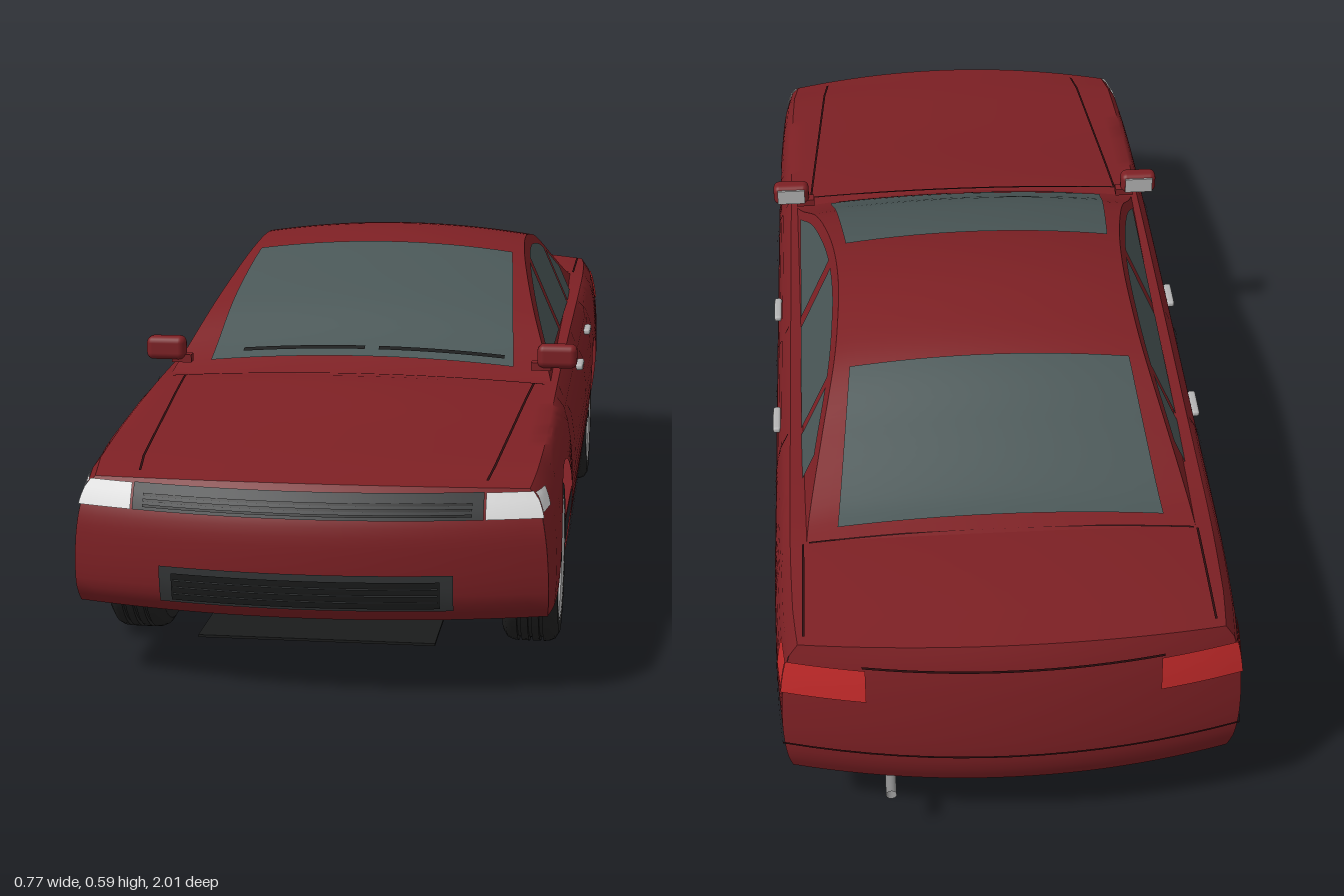
import * as THREE from 'three';
import { toCreasedNormals } from 'three/addons/utils/BufferGeometryUtils.js';
import { RoundedBoxGeometry } from 'three/addons/geometries/RoundedBoxGeometry.js';

const mat = (name, color) => new THREE.MeshStandardMaterial({ name, color, side: THREE.DoubleSide });
const paint = mat('dark red paint', 0x7d2024);
const glass = mat('tinted glass', 0x4a5757);
const rubber = mat('tyre rubber', 0x232323);
const black = mat('black plastic', 0x1b1c1c);
const grilleGrey = mat('grille grey', 0x343637);
const alloy = mat('alloy', 0xb4b4b4);
const steel = mat('exhaust steel', 0x858585);
const lampWhite = mat('headlamp white', 0xdedede);
const lampRed = mat('tail lamp red', 0xc42a2a);
const seamDark = mat('panel gap', 0x2c0c0e);

const { lerp, clamp } = THREE.MathUtils;

// Smooth curve through [position, value] pairs
function curve(pts) {
  const slope = i => {
    const a = pts[Math.max(i - 1, 0)], b = pts[Math.min(i + 1, pts.length - 1)];
    return (b[1] - a[1]) / (b[0] - a[0]);
  };
  return v => {
    v = clamp(v, pts[0][0], pts[pts.length - 1][0]);
    let i = 0;
    while (i < pts.length - 2 && v > pts[i + 1][0]) i++;
    const [x0, y0] = pts[i], [x1, y1] = pts[i + 1], h = x1 - x0, t = (v - x0) / h;
    const t2 = t * t, t3 = t2 * t;
    return y0 * (2 * t3 - 3 * t2 + 1) + y1 * (3 * t2 - 2 * t3) + h * (slope(i) * (t3 - 2 * t2 + t) + slope(i + 1) * (t3 - t2));
  };
}

// Lengthwise lines of the body: shoulder, centre of bonnet and boot, roof centre
const shoulder = curve([[-1, .425], [-.7, .423], [-.4, .413], [0, .403], [.38, .388], [.7, .362], [1, .334]]);
const deck = curve([[-1, .44], [-.7, .442], [-.55, .42], [0, .4], [.3, .392], [.4, .4], [.67, .373], [1, .342]]);
const roof = curve([[-.76, .432], [-.7, .444], [-.636, .459], [-.5, .513], [-.37, .567], [-.28, .586], [-.17, .594],
  [-.05, .58], [.07, .547], [.19, .5], [.3, .437], [.35, .412], [.41, .388]]);
// Side bulge by depth below the shoulder, and the end profiles by height
const bulge = curve([[0, .352], [.01, .362], [.04, .373], [.1, .382], [.18, .384], [.26, .376], [.33, .362]]);
const nose = curve([[.13, .968], [.16, .99], [.25, .996], [.295, .988], [.335, .966], [.36, .955]]);
const tail = curve([[.145, -.975], [.19, -.995], [.25, -1], [.35, -.992], [.42, -.978], [.45, -.965]]);

const wheelZ = [.605, -.555], wheelR = .14, archR = .166;
const endZ = (front, x, y) => front ? nose(y) - .058 * (x / .37) ** 2 : tail(y) + .05 * (x / .36) ** 2;
const sideX = (s, y) => bulge(shoulder(s) - y) * (1 - .035 * clamp((Math.abs(s) - .6) / .4, 0, 1) ** 2);
const deckY = (s, x) => lerp(deck(s), shoulder(s), (x / sideX(s, shoulder(s))) ** 2);

function bottom(s) {
  const base = s > .7 ? .13 : s < -.65 ? .145 : .088;
  for (const z of wheelZ) {
    const d = Math.abs(s - z);
    if (d <= archR + 1e-6) return Math.max(base, wheelR + Math.sqrt(Math.max(0, archR ** 2 - d * d)));
  }
  return base;
}
// Bends the last part of each end to the nose or tail profile
function bend(s, x, y) {
  if (Math.abs(s) <= .85) return [x, y, s];
  const z0 = .85 * Math.sign(s);
  return [x, y, lerp(z0, endZ(s > 0, x, y), (Math.abs(s) - .85) / .15)];
}

// Grid surface from a rule (u, v in 0..1)
function grid(nu, nv, fn, crease = .7) {
  const g = new THREE.PlaneGeometry(1, 1, nu, nv), p = g.attributes.position;
  for (let j = 0, k = 0; j <= nv; j++)
    for (let i = 0; i <= nu; i++, k++) p.setXYZ(k, ...fn(i / nu, j / nv));
  g.computeVertexNormals();
  return toCreasedNormals(g, crease);
}

// Cabin section: sides lean inwards, roof has a light crown
const cabinX = y => .333 - .073 * clamp((y - .405) / .165, -.1, 1.2);
const cabinEdge = z => Math.max(roof(z) - .02, shoulder(z) - .012);
const roofY = (z, x) => roof(z) - .02 * (x / cabinX(cabinEdge(z))) ** 2;

export function createModel() {
  const car = new THREE.Group();
  car.name = 'saloonCar';
  function add(name, geo, material, pos = [0, 0, 0], parent = car) {
    const m = new THREE.Mesh(geo, material);
    m.name = name;
    m.position.set(...pos);
    parent.add(m);
    return m;
  }
  const box = (name, w, h, d, m, pos, parent) => add(name, new THREE.BoxGeometry(w, h, d), m, pos, parent);

  // Body shell, with close stations around the wheel arches
  const stations = [];
  for (let i = 0; i <= 40; i++) {
    const s = -1 + i / 20;
    if (wheelZ.every(z => Math.abs(s - z) > archR + .005)) stations.push(s);
  }
  for (const z of wheelZ) {
    for (let i = 0; i <= 20; i++) stations.push(z - archR * Math.cos(Math.PI * i / 20));
    stations.push(z - archR - .001, z + archR + .001);
  }
  stations.sort((a, b) => a - b);
  const n = stations.length - 1;
  add('bodyShell', grid(n, 48, (u, v) => {
    const s = stations[Math.round(u * n)], t = v * 2 - 1, k = Math.abs(t), sg = Math.sign(t), b = bottom(s);
    if (k > .5) {
      const y = lerp(b, shoulder(s), (1 - k) / .5);
      return bend(s, sg * sideX(s, y), y);
    }
    const x = sideX(s, shoulder(s)) * k * 2;
    return bend(s, sg * x, deckY(s, x));
  }), paint);
  for (const s of [1, -1])
    add(s > 0 ? 'frontBumper' : 'rearPanel', grid(24, 14, (u, v) => {
      const b = bottom(s), x = (u * 2 - 1) * sideX(s, lerp(b, shoulder(s), v));
      const y = lerp(b, deckY(s, x), v);
      return [x, y, endZ(s > 0, x, y)];
    }), paint);

  // Cabin shell
  add('cabin', grid(60, 40, (u, v) => {
    const z = lerp(-.76, .41, u), t = v * 2 - 1, k = Math.abs(t), sg = Math.sign(t), e = cabinEdge(z);
    if (k > .5) {
      const y = lerp(shoulder(z) - .015, e, (1 - k) / .5);
      return [sg * cabinX(y), y, z];
    }
    const x = cabinX(e) * k * 2;
    return [sg * x, roofY(z, x), z];
  }, .5), paint);

  // Windscreen and rear window
  const screen = (name, z0, z1, w0, w1) => add(name, grid(16, 20, (u, v) => {
    const z = lerp(z0, z1, v), x = (u * 2 - 1) * lerp(w0, w1, v);
    return [x, roofY(z, x) + .005, z];
  }), glass);
  screen('windscreen', .335, -.03, .272, .243);
  screen('rearWindow', -.385, -.675, .243, .272);

  // Thin plates lying on the sides, the ends and the top
  const sidePlate = (name, sg, s0, s1, y0, y1, m, slant = 0) => add(name, grid(8, 6, (u, v) => {
    const y = lerp(y0, y1, v), s = lerp(s0, s1, u) + slant * v, p = bend(s, sideX(s, y), y);
    return [sg * (p[0] + .003), p[1], p[2]];
  }), m);
  const endPlate = (name, front, x0, x1, y0, y1, m, lift = .004) => add(name, grid(16, 3, (u, v) => {
    const y = lerp(y0, y1, v), e = sideX(front ? 1 : -1, y) + .003;
    const x = lerp(clamp(x0, -e, e), clamp(x1, -e, e), u);
    return [x, y, endZ(front, x, y) + (front ? lift : -lift)];
  }), m);
  const topSeam = (name, x0, s0, x1, s1, w = .004) => add(name, grid(16, 1, (u, v) => {
    const across = Math.abs(s1 - s0) < .01;
    const x = lerp(x0, x1, u) + (across ? 0 : v * w), s = lerp(s0, s1, u) + (across ? v * w : 0);
    return bend(s, x, deckY(s, x) + .002);
  }), seamDark);

  // Grilles
  endPlate('upperGrille', true, -.272, .272, .293, .332, grilleGrey);
  for (const y of [.298, .306, .314]) endPlate('grilleBar', true, -.255, .255, y, y + .004, black, .006);
  endPlate('lowerGrilleFrame', true, -.228, .228, .15, .209, grilleGrey);
  endPlate('lowerGrille', true, -.208, .208, .155, .199, black, .006);
  for (const y of [.165, .176, .187]) endPlate('lowerGrilleBar', true, -.205, .205, y, y + .003, grilleGrey, .008);

  // Panel gaps across the car
  topSeam('cowlGap', -.33, .385, .33, .385);
  topSeam('bootFrontGap', -.32, -.7, .32, -.7);
  endPlate('rearBumperGap', false, -.4, .4, .223, .227, seamDark);
  endPlate('bootLidGap', false, -.24, .24, .398, .402, seamDark);

  for (const sg of [1, -1]) {
    const side = sg > 0 ? 'left' : 'right';
    // Side windows follow the roof edge
    for (const [name, z0, z1] of [['FrontWindow', .325, -.052], ['RearWindow', -.083, -.38], ['QuarterWindow', -.398, -.52]])
      add(side + name, grid(16, 4, (u, v) => {
        const z = lerp(z0, z1, u), y = lerp(.413, Math.max(.413, cabinEdge(z) - .018), v);
        return [sg * (cabinX(y) + .003), y, z];
      }), glass);
    // Lamps wrap round the corners
    endPlate(side + 'Headlamp', true, sg * .275, sg * .4, .293, .331, lampWhite);
    sidePlate(side + 'HeadlampSide', sg, .9, 1, .3, .329, lampWhite);
    endPlate(side + 'TailLamp', false, sg * .235, sg * .4, .335, .395, lampRed);
    sidePlate(side + 'TailLampSide', sg, -.9, -1, .338, .393, lampRed);
    // Door, bumper, bonnet and boot gaps
    sidePlate(side + 'FrontDoorGap', sg, .385, .381, .1, .388, seamDark);
    sidePlate(side + 'MiddleDoorGap', sg, -.064, -.068, .11, .405, seamDark);
    sidePlate(side + 'RearDoorGap', sg, -.48, -.484, .315, .412, seamDark, .09);
    sidePlate(side + 'SillGap', sg, -.385, .385, .112, .116, seamDark);
    sidePlate(side + 'BumperGap', sg, -.725, -1, .223, .227, seamDark);
    topSeam(side + 'BonnetGap', sg * .31, .385, sg * .272, .96);
    topSeam(side + 'BootGap', sg * .328, -.7, sg * .328, -.97);
    // Handles
    for (const [z, y] of [[.045, .363], [-.3, .37]])
      add(side + 'DoorHandle', new RoundedBoxGeometry(.014, .012, .065, 2, .005), alloy, [sg * .378, y, z]);
    // Mirrors
    add(side + 'Mirror', new RoundedBoxGeometry(.07, .042, .034, 3, .012), paint, [sg * .35, .434, .345]);
    box(side + 'MirrorGlass', .054, .03, .004, alloy, [sg * .35, .434, .327]);
    box(side + 'MirrorStalk', .035, .014, .02, paint, [sg * .322, .415, .342]);
  }

  // Wipers
  for (const [x0, x1] of [[-.215, .005], [.03, .255]])
    add('wiper', grid(10, 1, (u, v) => {
      const x = lerp(x0, x1, u), z = .322 - v * .009;
      return [x, roofY(z, x) + .009, z];
    }), black);

  // Wheels: grooved tyre, open rim, five split spokes
  const half = [[.1, -.045], [.124, -.046], [.135, -.039], [.139, -.03]];
  const profile = [...half];
  for (const y of [-.018, 0, .018]) profile.push([.14, y - .003], [.134, y - .0025], [.134, y + .0025], [.14, y + .003]);
  profile.push(...half.map(([r, y]) => [r, -y]).reverse());
  const lathe = pts => toCreasedNormals(new THREE.LatheGeometry(pts.map(p => new THREE.Vector2(...p)), 48), .6);
  const tyreGeo = lathe(profile);
  const rimGeo = lathe([[.102, -.045], [.094, -.03], [.091, .025], [.096, .042], [.105, .046]]);
  const spokeGeo = new THREE.BoxGeometry(.084, .012, .012).translate(.055, 0, 0);
  for (const z of wheelZ) for (const sg of [1, -1]) {
    const wheel = new THREE.Group();
    wheel.name = (sg > 0 ? 'left' : 'right') + (z > 0 ? 'FrontWheel' : 'RearWheel');
    wheel.position.set(sg * .329, wheelR, z);
    wheel.rotation.z = -sg * Math.PI / 2;
    add('tyre', tyreGeo, rubber, undefined, wheel);
    add('rim', rimGeo, alloy, undefined, wheel);
    add('hub', new THREE.CylinderGeometry(.02, .025, .018, 20), alloy, [0, .034, 0], wheel);
    add('hubCap', new THREE.CylinderGeometry(.009, .009, .004, 16), grilleGrey, [0, .044, 0], wheel);
    add('brakeDisc', new THREE.CylinderGeometry(.064, .064, .012, 32), steel, [0, -.012, 0], wheel);
    add('axleStub', new THREE.CylinderGeometry(.024, .024, .05, 16), steel, [0, -.03, 0], wheel);
    for (let i = 0; i < 10; i++) {
      const a = Math.floor(i / 2) * Math.PI * .4 + (i % 2 ? .15 : -.15);
      add('spoke', spokeGeo, alloy, [0, .032, 0], wheel).rotation.y = a;
    }
    car.add(wheel);
  }

  // Underside
  box('floorPan', .72, .008, .82, paint, [0, .086, .025]);
  box('rearFloor', .5, .008, .5, black, [0, .15, -.64]);
  box('underTray', .38, .004, .42, black, [0, .064, .66]);
  box('engine', .46, .1, .24, steel, [0, .155, .62]);
  const path = [[.05, .12, .56], [.045, .075, .44], [.05, .072, .2], [.04, .072, -.25], [.03, .1, -.42], [.1, .11, -.7]];
  add('exhaustPipe', new THREE.TubeGeometry(new THREE.CatmullRomCurve3(path.map(p => new THREE.Vector3(...p))), 40, .011, 10), steel);
  add('resonator', new RoundedBoxGeometry(.06, .026, .15, 2, .01), steel, [.045, .073, .03]);
  add('muffler', new RoundedBoxGeometry(.165, .05, .11, 3, .018), steel, [.15, .108, -.755]);
  add('tailPipe', new THREE.CylinderGeometry(.009, .009, .17, 14, 1, true).rotateX(Math.PI / 2), steel, [.2, .11, -.885]);
  return car;
}
